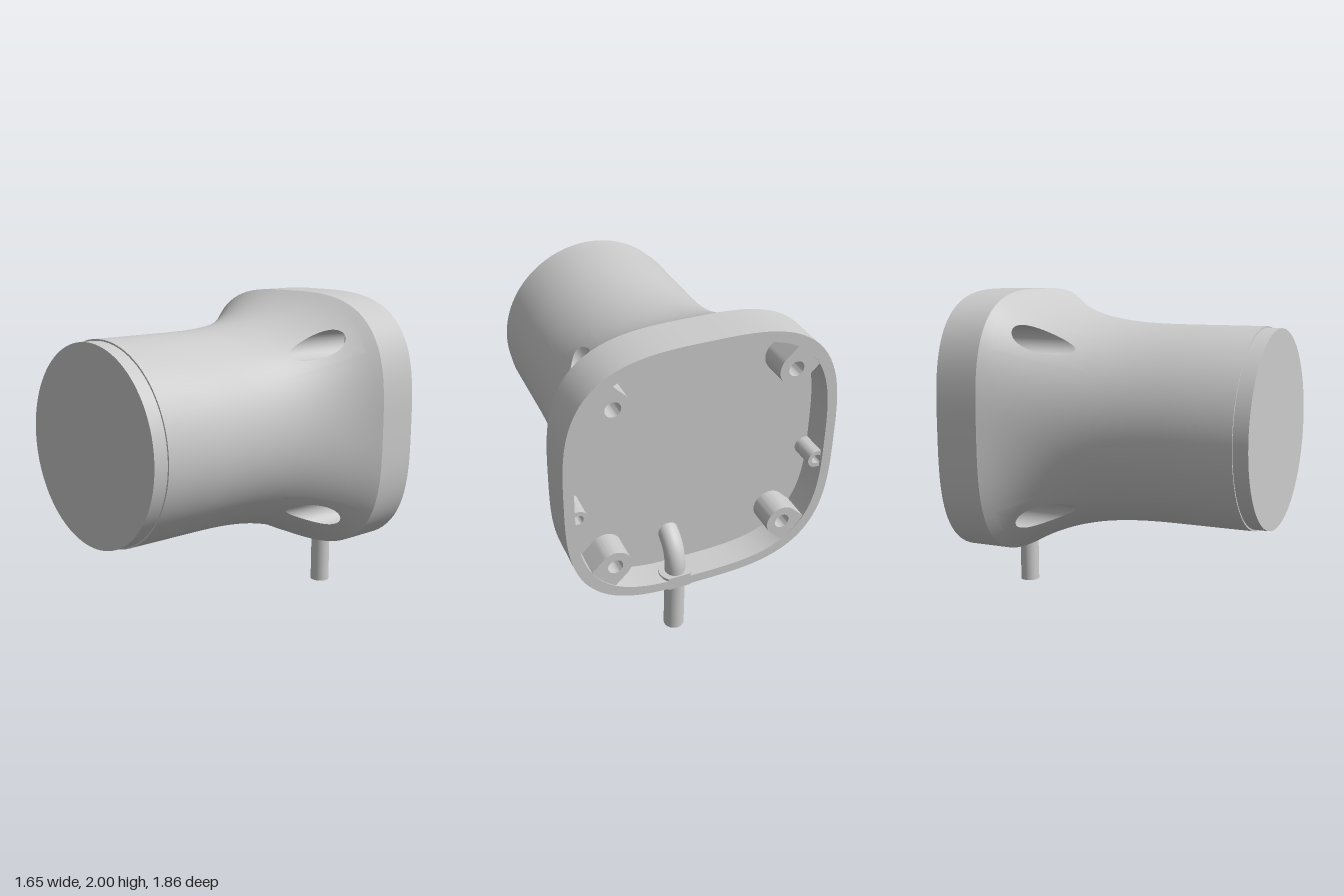
import * as THREE from 'three';
import { mergeVertices, toCreasedNormals } from 'three/addons/utils/BufferGeometryUtils.js';

const grey = new THREE.MeshStandardMaterial({ color: 0xcccccc, side: THREE.DoubleSide });

const RADIUS = 0.615;              // round barrel
const HALF = 0.825;                // half width of the squarish base
const FLARE = 2.9, SQUARE = 3.2;   // flare exponent, superellipse exponent
const BACK = -0.93, RIM = -0.66, FLOOR = -0.75, POCKET = -0.7;
const SCREW_DIST = 0.757, SCREW_R = 0.085, BORE_R = 0.046;
const COLS = 128;

// radius of the rounded-square outline at angle a
const outline = (a, half = HALF) =>
  half * (Math.abs(Math.cos(a)) ** SQUARE + Math.abs(Math.sin(a)) ** SQUARE) ** (-1 / SQUARE);

// point on the housing: u = angle, v = 0 (round) to 1 (squarish), v < 0 on the straight barrel
function housingPoint(u, v) {
  const rho = RADIUS + Math.max(v, 0) ** FLARE * (outline(u) - RADIUS);
  return new THREE.Vector3(rho * Math.cos(u), rho * Math.sin(u), 0.4 - 1.06 * v);
}

// (u, v) of a point on the edge of a screw pocket, a = angle around the pocket
function pocketEdge(centre, a) {
  const t = SCREW_R * Math.cos(a), r = SCREW_DIST + SCREW_R * Math.sin(a);
  const u = centre + Math.atan2(t, r);
  const f = (Math.hypot(t, r) - RADIUS) / (outline(u) - RADIUS);
  return [u, f ** (1 / FLARE)];
}

function smoothQuads(quads) {
  const pos = [];
  for (const [a, b, c, d] of quads) for (const p of [a, b, d, b, c, d]) pos.push(p.x, p.y, p.z);
  const g = new THREE.BufferGeometry();
  g.setAttribute('position', new THREE.Float32BufferAttribute(pos, 3));
  const merged = mergeVertices(g);
  merged.computeVertexNormals();
  return merged;
}

function outlineShape(half) {
  const pts = [];
  for (let i = 0; i < COLS; i++) {
    const a = (i / COLS) * Math.PI * 2, r = outline(a, half);
    pts.push(new THREE.Vector2(r * Math.cos(a), r * Math.sin(a)));
  }
  return new THREE.Shape(pts);
}

const circle = (x, y, r) => new THREE.Path().absarc(x, y, r, 0, Math.PI * 2, true);

function extrude(shape, z0, z1) {
  const g = new THREE.ExtrudeGeometry(shape, { depth: z1 - z0, bevelEnabled: false, curveSegments: 20 });
  g.translate(0, 0, z0);
  return toCreasedNormals(g, 0.6);
}

// bored boss with a web running outwards into the wall
function bossGeometry(r, bore, web, z0, z1) {
  const s = new THREE.Shape();
  s.absarc(0, 0, r, Math.PI / 2, Math.PI * 1.5, false);
  s.lineTo(web, -r);
  s.lineTo(web, r);
  s.holes.push(circle(0, 0, bore));
  return extrude(s, z0, z1);
}

export function createModel() {
  const model = new THREE.Group();
  model.name = 'lampHousing';
  model.position.y = 1.175;
  const add = (name, geometry) => {
    const m = new THREE.Mesh(geometry, grey);
    m.name = name;
    model.add(m);
    return m;
  };
  const corners = [0, 1, 2, 3].map(q => Math.PI / 4 + (q * Math.PI) / 2);

  // flared housing: a grid with a window left open around each screw pocket
  const rows = [-0.44 / 1.06];
  for (let k = 0; k <= 20; k++) rows.push(k / 20);
  const angle = i => (i / COLS) * Math.PI * 2;
  const mid = 16, halfCols = 4, rowMid = 15, halfRows = 5;
  const quads = [];
  for (let i = 0; i < COLS; i++) for (let j = 0; j < rows.length - 1; j++) {
    const local = i % 32;
    if (local >= mid - halfCols && local < mid + halfCols && j >= rowMid - halfRows && j < rowMid + halfRows) continue;
    quads.push([
      housingPoint(angle(i), rows[j]), housingPoint(angle(i), rows[j + 1]),
      housingPoint(angle(i + 1), rows[j + 1]), housingPoint(angle(i + 1), rows[j]),
    ]);
  }

  // window border, counter-clockwise in (u, v)
  const border = [];
  for (let k = -halfCols; k < halfCols; k++) border.push([k, -halfRows]);
  for (let k = -halfRows; k < halfRows; k++) border.push([halfCols, k]);
  for (let k = halfCols; k > -halfCols; k--) border.push([k, halfRows]);
  for (let k = halfRows; k > -halfRows; k--) border.push([-halfCols, k]);

  // fill each window up to the round pocket edge, then sink the pocket wall
  const RINGS = 6;
  for (const c of corners) {
    const spokes = border.map(([di, dj]) => {
      const [u1, v1] = pocketEdge(c, Math.atan2(dj / halfRows, di / halfCols));
      const u0 = c + angle(di), v0 = rows[rowMid + dj];
      return Array.from({ length: RINGS + 1 }, (_, k) =>
        housingPoint(u0 + ((u1 - u0) * k) / RINGS, v0 + ((v1 - v0) * k) / RINGS));
    });
    const wall = [];
    spokes.forEach((s, k) => {
      const n = spokes[(k + 1) % spokes.length];
      for (let r = 0; r < RINGS; r++) quads.push([s[r], s[r + 1], n[r + 1], n[r]]);
      const a = s[RINGS], b = n[RINGS];
      wall.push([a, a.clone().setZ(POCKET), b.clone().setZ(POCKET), b]);
    });
    add('screwPocket', smoothQuads(wall));
  }
  add('housing', smoothQuads(quads));

  // straight rim around the hollow back
  const rim = outlineShape(HALF);
  rim.holes.push(outlineShape(0.765));
  add('rim', extrude(rim, BACK, RIM));

  // floor of the back recess
  const floor = outlineShape(0.775);
  for (const c of corners)
    floor.holes.push(circle(SCREW_DIST * Math.cos(c), SCREW_DIST * Math.sin(c), SCREW_R));
  add('recessFloor', extrude(floor, FLOOR, FLOOR + 0.03));

  // screw bosses in the corners, bored through to the pockets
  for (const c of corners) {
    const b = add('screwBoss', bossGeometry(0.1, BORE_R, 0.15, -0.925, POCKET));
    b.position.set(SCREW_DIST * Math.cos(c), SCREW_DIST * Math.sin(c), 0);
    b.rotation.z = c;
  }

  // small bosses on the side walls
  for (const side of [1, -1]) {
    const b = add('sideBoss', bossGeometry(0.055, 0.03, 0.05, -0.91, FLOOR));
    b.position.set(side * 0.74, -0.14, 0);
    b.rotation.z = side > 0 ? 0 : Math.PI;
  }

  // front window and the narrow step around it
  const lens = add('frontWindow', new THREE.CylinderGeometry(0.605, 0.605, 0.13, 96));
  lens.rotation.x = Math.PI / 2;
  lens.position.z = 0.865;
  add('frontStep', new THREE.RingGeometry(0.6, RADIUS, COLS)).position.z = 0.84;

  // cable: straight tail through the wall, then a bend into the floor
  const CX = 0.135, CZ = -0.86, CR = 0.062;
  const tail = add('cableTail', new THREE.CylinderGeometry(CR, CR, 0.455, 32));
  tail.position.set(CX, -0.9475, CZ);
  const bend = new THREE.QuadraticBezierCurve3(
    new THREE.Vector3(CX, -0.72, CZ),
    new THREE.Vector3(CX, -0.58, CZ),
    new THREE.Vector3(CX, -0.53, FLOOR + 0.02));
  add('cableBend', new THREE.TubeGeometry(bend, 20, CR, 32, false));

  // cable grommet: a flange on each side of the wall, cut flush with the back
  const flange = new THREE.Shape();
  const cut = Math.asin(0.7);
  flange.absarc(0, 0, 0.1, Math.PI - cut, Math.PI * 2 + cut, false);
  for (const [y0, y1] of [[-0.832, -0.81], [-0.775, -0.745]]) {
    const f = add('grommetFlange', extrude(flange, y0, y1));
    f.rotation.x = -Math.PI / 2;
    f.position.set(CX, 0, CZ);
  }

  const group = new THREE.Group();
  group.add(model);
  return group;
}
